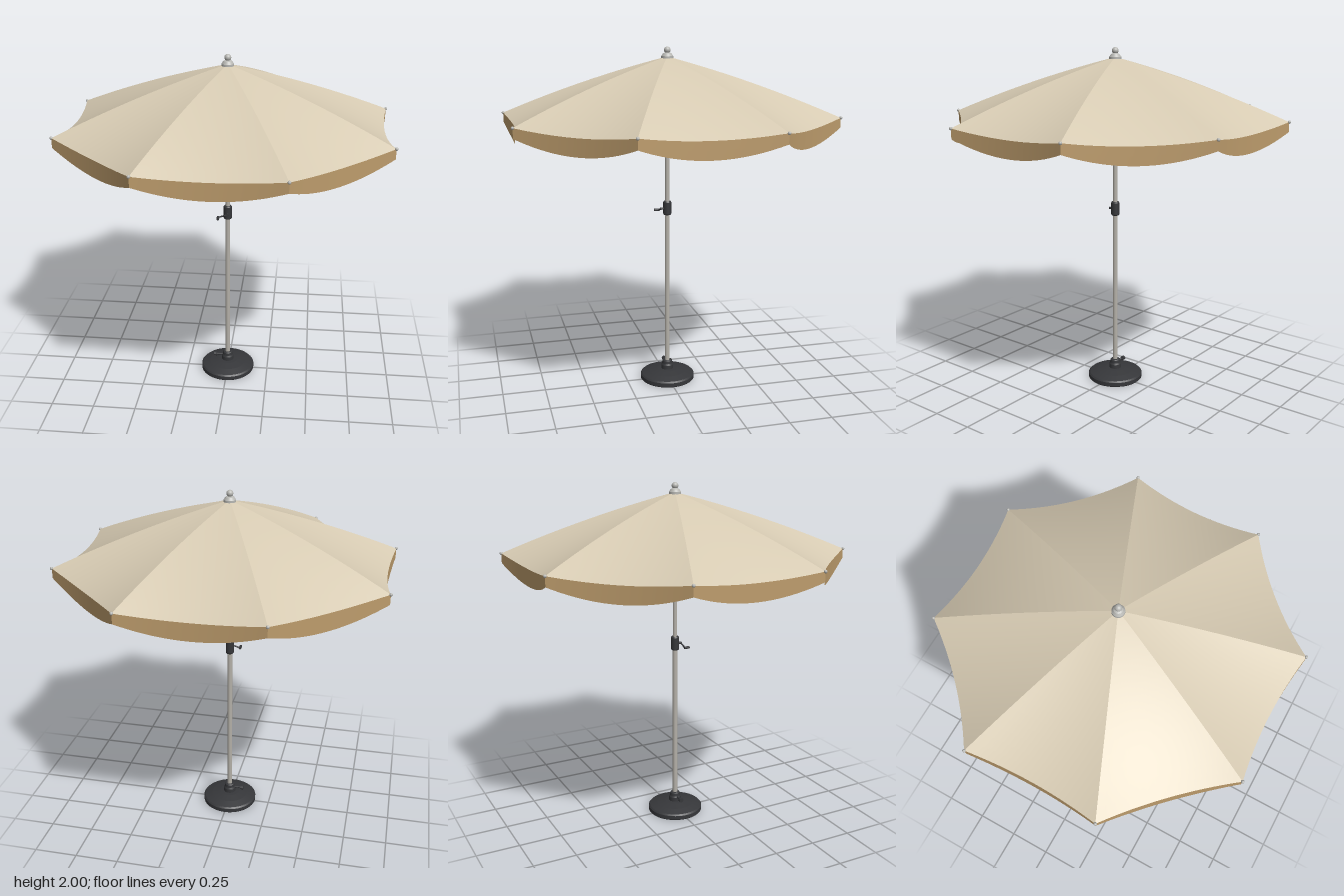
import * as THREE from 'three';

const SIDES = 8, TIP_R = 0.975, APEX_Y = 1.945, DROP = 0.33;
const mat = (color, side = THREE.FrontSide) => new THREE.MeshStandardMaterial({ color, side });
const V = (x, y, z) => new THREE.Vector3(x, y, z);

// Point on rib k at fraction s from apex to tip
function ribPoint(k, s) {
  const a = ((k + 0.5) / SIDES) * Math.PI * 2;
  return V(Math.sin(a) * TIP_R * s, APEX_Y - DROP * (0.76 * s + 0.24 * s * s), Math.cos(a) * TIP_R * s);
}

// Point on the cloth between rib k and rib k + 1, sagging in the middle
function clothPoint(k, u, s) {
  const p = ribPoint(k, s).lerp(ribPoint(k + 1, s), u);
  const sag = 4 * u * (1 - u) * s * s;
  const a = ((k + 1) / SIDES) * Math.PI * 2;
  p.x -= Math.sin(a) * 0.03 * sag;
  p.z -= Math.cos(a) * 0.03 * sag;
  p.y -= 0.028 * sag;
  return p;
}

// Grid surface from a function of (u, v)
function surface(fn, nu, nv) {
  const pos = [], idx = [];
  for (let j = 0; j <= nv; j++)
    for (let i = 0; i <= nu; i++) pos.push(...fn(i / nu, j / nv).toArray());
  for (let j = 0; j < nv; j++)
    for (let i = 0; i < nu; i++) {
      const a = j * (nu + 1) + i, b = a + nu + 1;
      idx.push(a, b, a + 1, a + 1, b, b + 1);
    }
  const g = new THREE.BufferGeometry();
  g.setAttribute('position', new THREE.Float32BufferAttribute(pos, 3));
  g.setIndex(idx);
  g.computeVertexNormals();
  return g;
}

// Straight round bar between two points
function bar(a, b, r) {
  const d = b.clone().sub(a);
  const g = new THREE.CylinderGeometry(r, r, d.length(), 10);
  g.applyQuaternion(new THREE.Quaternion().setFromUnitVectors(V(0, 1, 0), d.normalize()));
  const c = a.clone().add(b).multiplyScalar(0.5);
  return g.translate(c.x, c.y, c.z);
}

// Turned part; each profile segment keeps its own crisp edge
function turned(points, segments = 40) {
  const pts = [];
  points.forEach(([r, y], i) => {
    pts.push(new THREE.Vector2(r, y));
    if (i > 0 && i < points.length - 1) pts.push(new THREE.Vector2(r, y + 1e-5));
  });
  return new THREE.LatheGeometry(pts, segments);
}

export function createModel() {
  const root = new THREE.Group();
  const cloth = mat(0xd6cab2, THREE.DoubleSide), trim = mat(0xbd9c6c, THREE.DoubleSide);
  const metal = mat(0xb4b0a8), silver = mat(0xb8b8b4), dark = mat(0x36373a), frame = mat(0x4a4947);
  const add = (name, geometry, material, parent = root) => {
    const m = new THREE.Mesh(geometry, material);
    m.name = name;
    parent.add(m);
    return m;
  };
  const group = (name) => {
    const g = new THREE.Group();
    g.name = name;
    root.add(g);
    return g;
  };

  // Canopy panels, scalloped valance and folding frame
  const canopy = group('canopy'), valance = group('valance'), ribs = group('ribFrame');
  for (let k = 0; k < SIDES; k++) {
    add('canopyPanel', surface((u, v) => clothPoint(k, u, 0.015 + 0.985 * v), 16, 16), cloth, canopy);
    add('valancePanel', surface((u, v) => {
      const p = clothPoint(k, u, 1);
      p.y -= v * (0.055 + 0.16 * u * (1 - u));
      return p;
    }, 20, 2), trim, valance);

    const path = [];
    for (let i = 0; i <= 8; i++) path.push(ribPoint(k, 0.02 + 0.975 * i / 8).add(V(0, -0.008, 0)));
    add('rib', new THREE.TubeGeometry(new THREE.CatmullRomCurve3(path), 16, 0.005, 6), frame, ribs);

    const joint = ribPoint(k, 0.49).add(V(0, -0.012, 0));
    const hub = ribPoint(k, 0.022).setY(1.475);
    add('strut', bar(hub, joint, 0.0045), frame, ribs);

    const tip = ribPoint(k, 1);
    add('ribTip', new THREE.SphereGeometry(0.009, 12, 8).translate(tip.x, tip.y, tip.z), silver, ribs);
  }

  // Finial
  add('finial', turned([[0, 1.935], [0.034, 1.935], [0.034, 1.947], [0.024, 1.962], [0.012, 1.968], [0.012, 1.975]]), silver);
  const ball = new THREE.SphereGeometry(0.019, 24, 16);
  add('finialBall', ball.translate(0, 1.981, 0), silver);

  // Two-part pole
  add('lowerPole', bar(V(0, 0.05, 0), V(0, 1.05, 0), 0.0145).toNonIndexed(), metal).geometry =
    new THREE.CylinderGeometry(0.0145, 0.0145, 1, 28).translate(0, 0.55, 0);
  add('upperPole', new THREE.CylinderGeometry(0.0125, 0.0125, 0.89, 28).translate(0, 1.495, 0), metal);

  // Top hub and sliding runner
  add('topHub', turned([[0, 1.885], [0.022, 1.885], [0.025, 1.89], [0.025, 1.925], [0, 1.925]]), silver);
  add('runner', turned([[0, 1.44], [0.019, 1.44], [0.023, 1.447], [0.023, 1.485], [0.019, 1.492], [0, 1.492]]), silver);
  add('runnerCollar', new THREE.CylinderGeometry(0.015, 0.015, 0.035, 28).translate(0, 1.423, 0), frame);

  // Crank housing and bent handle
  const crank = group('crank');
  add('crankHousing', turned([[0, 1.03], [0.02, 1.03], [0.024, 1.036], [0.024, 1.106], [0.02, 1.112], [0, 1.112]]), dark, crank);
  const elbow = V(0, 1.068, 0.038), end = V(-0.053, 1.05, 0.038);
  add('crankAxle', bar(V(0, 1.068, 0.015), elbow.clone().setZ(0.042), 0.007), dark, crank);
  add('crankArm', bar(elbow, end, 0.0045), dark, crank);
  add('crankGrip', bar(end.clone().setZ(0.034), end.clone().setZ(0.066), 0.008), dark, crank);

  // Domed weighted base with socket and clamp screw
  add('base', turned([[0, 0], [0.158, 0], [0.163, 0.005], [0.163, 0.028], [0.155, 0.036], [0.11, 0.05],
    [0.06, 0.06], [0.035, 0.062]], 56), dark);
  add('poleSocket', turned([[0.037, 0.055], [0.036, 0.085], [0.031, 0.095], [0.029, 0.112], [0.025, 0.116], [0, 0.116]]), dark);
  add('clampScrew', bar(V(-0.02, 0.09, 0), V(-0.075, 0.09, 0), 0.006), dark);
  add('clampKnob', bar(V(-0.07, 0.09, 0), V(-0.087, 0.09, 0), 0.013), dark);

  return root;
}
